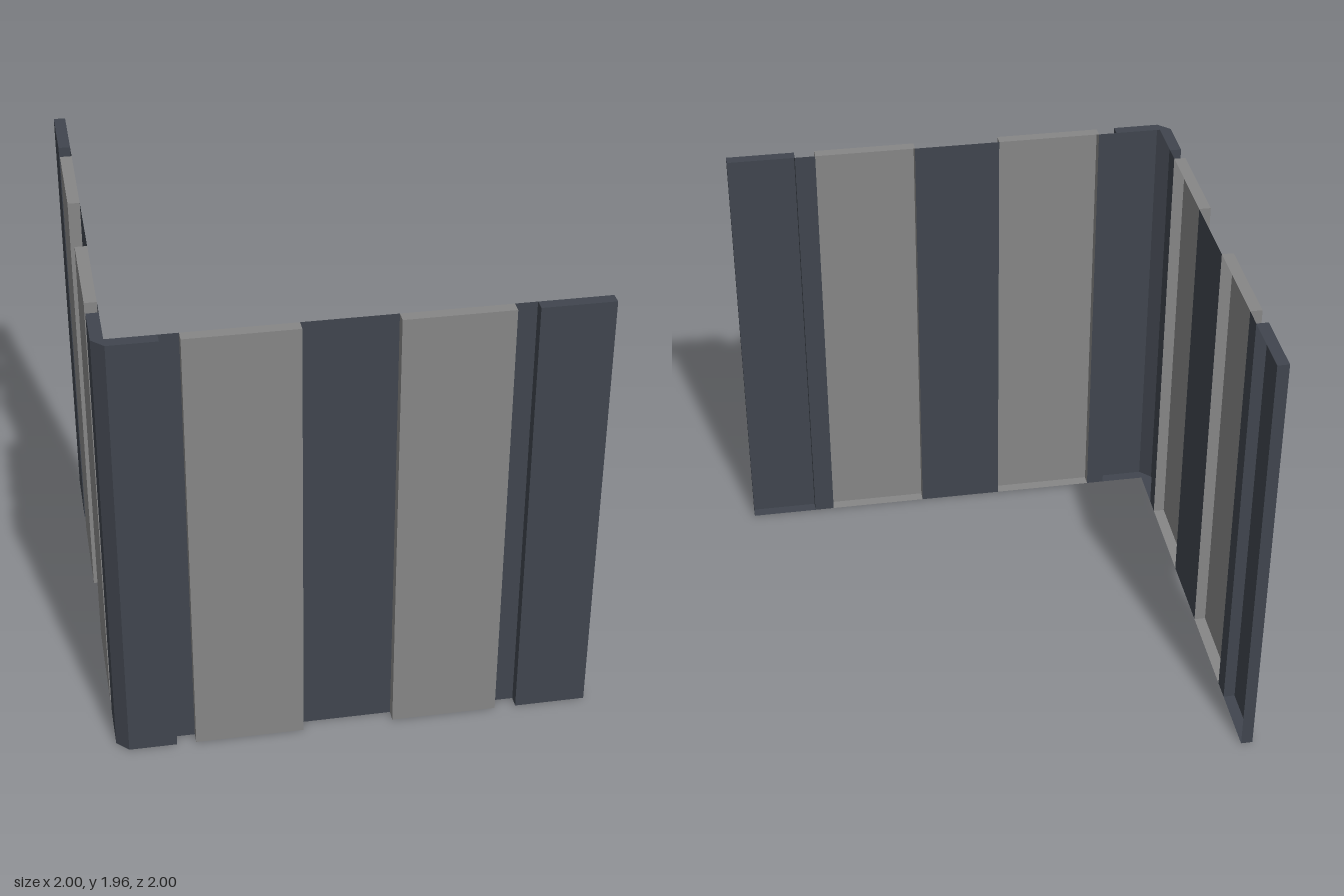
import * as THREE from 'three';
import { mergeGeometries } from 'three/addons/utils/BufferGeometryUtils.js';

const H = 1.955, OUT = 1, IN = 0.95;

// Raised panel: a shallow tray, open at the back
function tray(x0, x1) {
  const g = new THREE.BoxGeometry(x1 - x0, H, OUT - IN);
  g.setIndex(Array.from(g.index.array).slice(0, 30));
  g.clearGroups();
  return g.translate((x0 + x1) / 2, H / 2, (OUT + IN) / 2);
}

// Recessed sheet between two raised panels
function sheet(x0, x1) {
  return new THREE.PlaneGeometry(x1 - x0, H).translate((x0 + x1) / 2, H / 2, IN);
}

// Chamfered corner piece: swept outer skin plus top and bottom caps
function cornerGeometry() {
  const path = [[-0.75, IN], [-0.75, OUT], [-IN, OUT], [-OUT, IN], [-OUT, 0.75], [-IN, 0.75]];
  const parts = [];
  for (let i = 0; i < path.length - 1; i++) {
    const [ax, az] = path[i], [bx, bz] = path[i + 1];
    const len = Math.hypot(bx - ax, bz - az);
    parts.push(new THREE.PlaneGeometry(len, H)
      .rotateY(Math.atan2(bz - az, -(bx - ax)))
      .translate((ax + bx) / 2, H / 2, (az + bz) / 2));
  }
  const outline = [...path, [-IN, IN]];
  const cap = (s) => new THREE.ShapeGeometry(
    new THREE.Shape(outline.map(([x, z]) => new THREE.Vector2(x, s * z))));
  parts.push(cap(-1).rotateX(-Math.PI / 2).translate(0, H, 0));
  parts.push(cap(1).rotateX(Math.PI / 2));
  return mergeGeometries(parts);
}

export function createModel() {
  const dark = new THREE.MeshStandardMaterial({ color: 0x40454e, side: THREE.DoubleSide });
  dark.name = 'slate';
  const grey = new THREE.MeshStandardMaterial({ color: 0x868686, side: THREE.DoubleSide });
  grey.name = 'grey';

  // Spans along a wall, starting at the corner
  const spans = [
    ['narrowRecess', sheet, -0.75, -0.67, dark],
    ['greyPanel', tray, -0.67, -0.215, grey],
    ['wideRecess', sheet, -0.215, 0.165, dark],
    ['greyPanel', tray, 0.165, 0.61, grey],
    ['narrowRecess', sheet, 0.61, 0.7, dark],
    ['endPanel', tray, 0.7, 1, dark],
  ];

  const model = new THREE.Group();
  model.name = 'cornerWall';

  // The side wall is the front wall mirrored and turned
  for (const [name, dir] of [['frontWall', 1], ['sideWall', -1]]) {
    const wall = new THREE.Group();
    wall.name = name;
    for (const [part, make, a, b, material] of spans) {
      const mesh = new THREE.Mesh(dir > 0 ? make(a, b) : make(-b, -a), material);
      mesh.name = part;
      wall.add(mesh);
    }
    if (dir < 0) wall.rotation.y = -Math.PI / 2;
    model.add(wall);
  }

  const corner = new THREE.Mesh(cornerGeometry(), dark);
  corner.name = 'cornerPanel';
  model.add(corner);
  return model;
}
